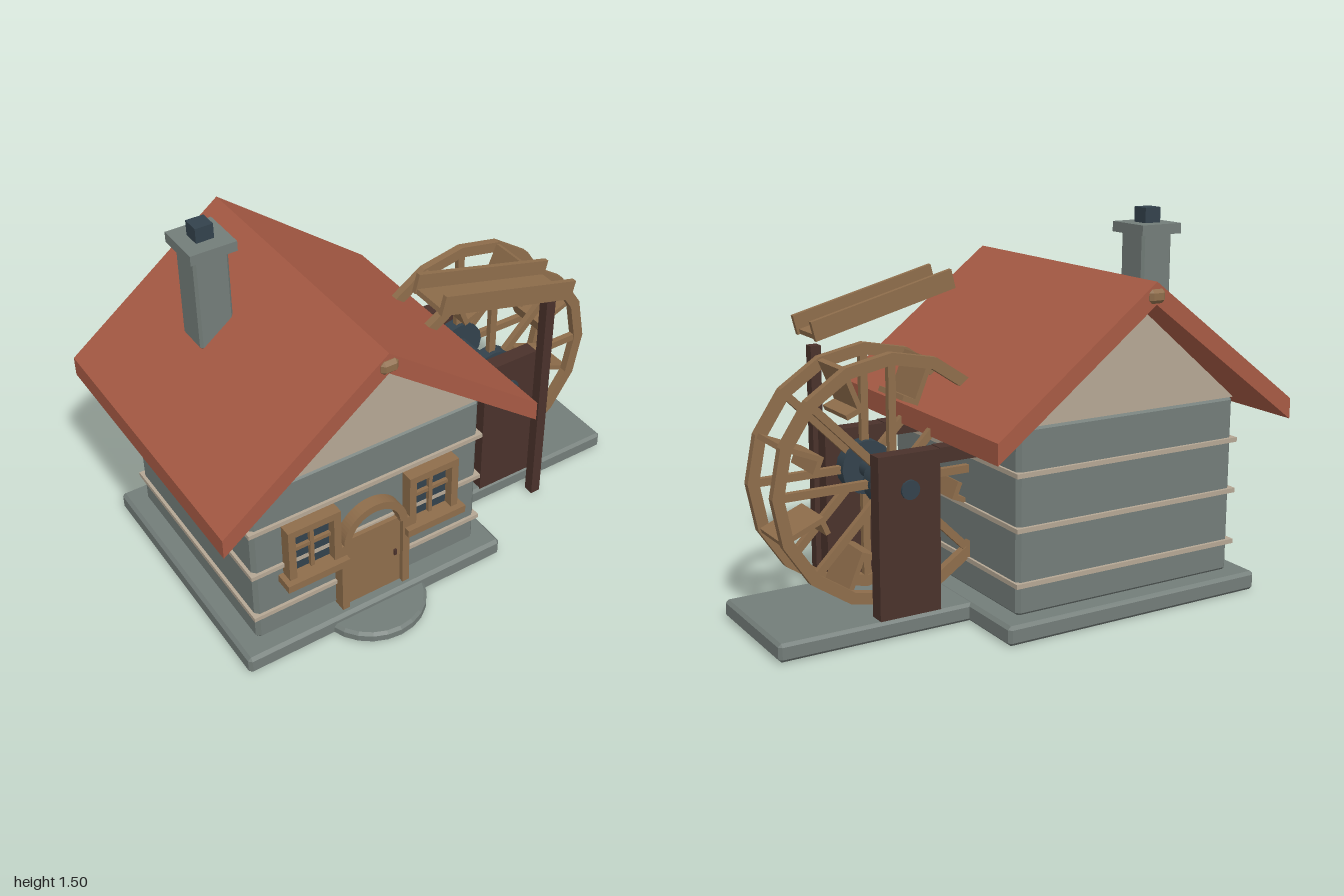
import * as THREE from 'three';
import { ConvexGeometry } from 'three/addons/geometries/ConvexGeometry.js';

const paint = (name, color) => {
  const m = new THREE.MeshStandardMaterial({ color });
  m.name = name;
  return m;
};

export function createModel() {
  const stone = paint('stone', 0x737d79);
  const plaster = paint('plaster', 0xb5a794);
  const tile = paint('roofTile', 0xa75a44);
  const wood = paint('wood', 0x8e6d4b);
  const darkWood = paint('darkWood', 0x4a322b);
  const slate = paint('slate', 0x33424c);

  const model = new THREE.Group();
  model.name = 'watermill';

  const group = (name, parent = model) => {
    const g = new THREE.Group();
    g.name = name;
    parent.add(g);
    return g;
  };
  const add = (name, geometry, material, parent = model, x = 0, y = 0, z = 0) => {
    const mesh = new THREE.Mesh(geometry, material);
    mesh.name = name;
    mesh.position.set(x, y, z);
    parent.add(mesh);
    return mesh;
  };
  // Box given by its low and high limits on each axis
  const box = (name, mat, x0, x1, y0, y1, z0, z1, parent = model) =>
    add(name, new THREE.BoxGeometry(x1 - x0, y1 - y0, z1 - z0), mat, parent,
      (x0 + x1) / 2, (y0 + y1) / 2, (z0 + z1) / 2);
  // The same with chamfered edges
  const chamferBox = (name, mat, x0, x1, y0, y1, z0, z1, b, parent = model) => {
    const h = [(x1 - x0) / 2, (y1 - y0) / 2, (z1 - z0) / 2];
    const points = [];
    for (const sx of [-1, 1]) for (const sy of [-1, 1]) for (const sz of [-1, 1])
      for (let full = 0; full < 3; full++) {
        const p = h.map((v, i) => (i === full ? v : v - b));
        points.push(new THREE.Vector3(sx * p[0], sy * p[1], sz * p[2]));
      }
    return add(name, new ConvexGeometry(points), mat, parent,
      (x0 + x1) / 2, (y0 + y1) / 2, (z0 + z1) / 2);
  };
  const shapeOf = (points) => new THREE.Shape(points.map(([x, y]) => new THREE.Vector2(x, y)));
  const extrude = (shape, depth) =>
    new THREE.ExtrudeGeometry(shape, { depth, bevelEnabled: false, curveSegments: 16 });

  const CX = -0.34, CZ = -0.043; // middle of the house

  // Foundations and round doorstep
  chamferBox('houseFoundation', stone, -0.91, 0.235, 0, 0.076, -0.587, 0.5, 0.013);
  chamferBox('wheelFoundation', stone, 0.12, 1, 0.004, 0.074, -0.305, 0.213, 0.012);
  const stepProfile = [[0, 0], [0.207, 0], [0.218, 0.012], [0.218, 0.038], [0.207, 0.05], [0, 0.05]];
  const stepGeometry = new THREE.LatheGeometry(
    stepProfile.map(([x, y]) => new THREE.Vector2(x, y)), 24).toNonIndexed();
  stepGeometry.computeVertexNormals();
  add('doorstep', stepGeometry, stone, model, CX, 0, 0.432);

  // Walls, bands and gable
  const house = group('house');
  chamferBox('walls', stone, -0.832, 0.155, 0.07, 0.785, -0.51, 0.425, 0.016, house);
  for (const y of [0.195, 0.405, 0.61])
    box('wallBand', plaster, -0.845, 0.165, y - 0.009, y + 0.009, -0.523, 0.437, house);
  add('gable', extrude(shapeOf([[-0.83, 0.78], [0.15, 0.78], [CX, 1.195]]), 0.93),
    plaster, house, 0, 0, CZ - 0.465);

  // Roof and ridge beam
  add('roof', extrude(shapeOf([[-1, 0.7], [CX, 1.2], [0.32, 0.7], [0.32, 0.78],
    [CX, 1.283], [-1, 0.78]]), 1.2), tile, house, 0, 0, CZ - 0.6);
  chamferBox('ridgeBeam', wood, CX - 0.035, CX + 0.035, 1.205, 1.257, -0.657, 0.573, 0.013, house);

  // Chimney
  const chimney = group('chimney', house);
  chamferBox('chimneyShaft', stone, -0.697, -0.557, 1.01, 1.405, -0.27, -0.128, 0.01, chimney);
  box('chimneyCap', stone, -0.719, -0.535, 1.397, 1.437, -0.295, -0.103, chimney);
  box('chimneyPot', slate, -0.663, -0.592, 1.43, 1.496, -0.236, -0.165, chimney);

  // Door with jambs and open arch
  const door = group('door', house);
  box('doorLeaf', wood, CX - 0.122, CX + 0.122, 0.07, 0.405, 0.41, 0.455, door);
  for (const s of [-1, 1]) {
    const x = CX + s * 0.135;
    box('doorJamb', wood, x - 0.015, x + 0.015, 0.07, 0.405, 0.41, 0.475, door);
  }
  const arch = new THREE.Shape();
  arch.absarc(0, 0, 0.14, 0, Math.PI, false);
  arch.absarc(0, 0, 0.108, Math.PI, 0, true);
  add('doorArch', extrude(arch, 0.065), wood, door, CX, 0.4, 0.41);
  box('doorHandle', darkWood, -0.25, -0.238, 0.225, 0.25, 0.45, 0.464, door);

  // Windows
  for (const s of [-1, 1]) {
    const win = group(s < 0 ? 'rightWindow' : 'leftWindow', house);
    win.position.set(CX + s * 0.26, 0.473, 0);
    box('glass', slate, -0.09, 0.09, -0.12, 0.1, 0.42, 0.435, win);
    for (const e of [-1, 1])
      box('frameSide', wood, e * 0.095 - 0.015, e * 0.095 + 0.015, -0.12, 0.115, 0.41, 0.475, win);
    box('frameTop', wood, -0.081, 0.081, 0.085, 0.115, 0.41, 0.475, win);
    box('verticalBar', wood, -0.008, 0.008, -0.12, 0.09, 0.42, 0.452, win);
    box('crossBar', wood, -0.081, 0.081, -0.008, 0.008, 0.42, 0.45, win);
    box('sill', wood, -0.131, 0.131, -0.147, -0.115, 0.41, 0.5, win);
  }

  // Water wheel
  const wheel = group('waterWheel');
  wheel.position.set(0.475, 0.553, CZ);
  const ring = (r) => Array.from({ length: 16 }, (_, i) =>
    [r * Math.cos(i * Math.PI / 8), r * Math.sin(i * Math.PI / 8)]);
  const rimShape = shapeOf(ring(0.477));
  rimShape.holes.push(shapeOf(ring(0.432)));
  const rimGeometry = extrude(rimShape, 0.032);
  const hubGeometry = new THREE.CylinderGeometry(0.105, 0.105, 0.056, 16).rotateX(Math.PI / 2);
  for (const s of [-1, 1]) {
    const z = s * 0.113;
    add('rim', rimGeometry, wood, wheel, 0, 0, z - 0.016);
    add('hub', hubGeometry, slate, wheel, 0, 0, z);
    for (let i = 0; i < 8; i++) {
      const arm = group('spokeArm', wheel);
      arm.rotation.z = i * Math.PI / 4;
      box('spoke', wood, 0.08, 0.45, -0.015, 0.015, z - 0.012, z + 0.012, arm);
    }
  }
  // Buckets sit between the spokes: a radial board and a short floor
  for (let i = 0; i < 8; i++) {
    const bucket = group('bucket', wheel);
    bucket.rotation.z = (i + 0.5) * Math.PI / 4;
    box('bucketBoard', wood, 0.287, 0.468, -0.01, 0.01, -0.097, 0.097, bucket);
    box('bucketFloor', wood, 0.287, 0.307, -0.06, -0.01, -0.097, 0.097, bucket);
  }
  add('axle', new THREE.CylinderGeometry(0.037, 0.037, 0.522, 16).rotateX(Math.PI / 2), slate, wheel);

  // Wheel supports with beams back to the house
  for (const z of [CZ - 0.22, CZ + 0.22]) {
    box('wheelSupport', darkWood, 0.35, 0.6, 0.07, 0.687, z - 0.031, z + 0.031);
    box('supportBeam', darkWood, 0.14, 0.351, 0.633, 0.69, z - 0.031, z + 0.031);
  }

  // Sloping water chute on its post
  box('chutePost', darkWood, 0.56, 0.602, 0.005, 0.995, 0.25, 0.293);
  const chute = group('waterChute');
  chute.position.set(0.32, 1.14, 0.272);
  chute.rotation.z = -0.253;
  box('chuteFloor', wood, -0.305, 0.3, -0.039, -0.019, -0.075, 0.075, chute);
  for (const s of [-1, 1])
    box('chuteSide', wood, -0.31, 0.31, -0.039, 0.039, s * 0.083 - 0.01, s * 0.083 + 0.01, chute);

  return model;
}
